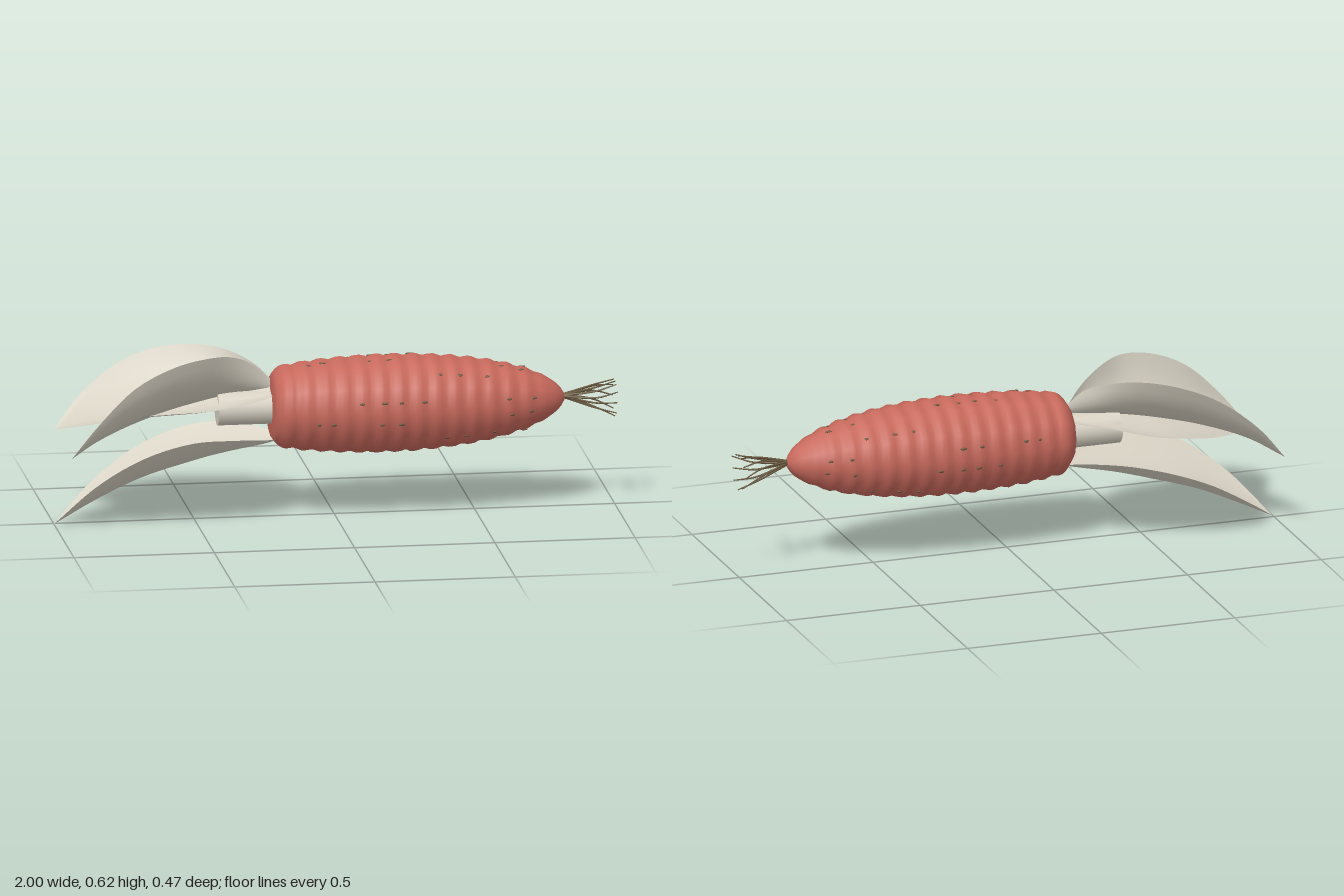
import * as THREE from 'three';

const AXIS_Y = 0.4, AXIS_Z = 0.015;
const V = (a) => new THREE.Vector3(...a);

// Body radius along its length
const profile = new THREE.CatmullRomCurve3([
  [0.105, -0.23], [0.143, -0.2], [0.156, -0.14], [0.169, -0.02], [0.176, 0.12], [0.176, 0.24],
  [0.168, 0.38], [0.15, 0.52], [0.122, 0.64], [0.088, 0.73], [0.045, 0.795], [0.012, 0.818],
].map(([r, x]) => new THREE.Vector3(r, x, 0)));

function radiusAt(x) {
  let lo = 0, hi = 1;
  for (let i = 0; i < 24; i++) {
    const mid = (lo + hi) / 2;
    if (profile.getPoint(mid).y < x) lo = mid; else hi = mid;
  }
  const fade = THREE.MathUtils.smoothstep(x, -0.23, -0.15) * (1 - THREE.MathUtils.smoothstep(x, 0.66, 0.8));
  return profile.getPoint(lo).x + 0.004 * fade * Math.sin(x * Math.PI * 2 / 0.066);
}

// Leaf lofted between two edges and a midrib, each section a shallow cup
function leafGeometry(edgeA, rib, edgeB) {
  const [a, m, b] = [edgeA, rib, edgeB].map((c) => new THREE.CatmullRomCurve3(c.map(V)));
  const rows = 28, cols = 12, pos = [], index = [];
  for (let i = 0; i <= rows; i++) {
    const t = i / rows, pa = a.getPoint(t), pm = m.getPoint(t), pb = b.getPoint(t);
    for (let j = 0; j <= cols; j++) {
      const s = j / cols * 2 - 1;
      const p = pa.clone().multiplyScalar(s * (s - 1) / 2)
        .addScaledVector(pm, 1 - s * s).addScaledVector(pb, s * (s + 1) / 2);
      pos.push(p.x, p.y, p.z);
      if (i < rows && j < cols) {
        const k = i * (cols + 1) + j, n = k + cols + 1;
        index.push(k, k + 1, n, k + 1, n + 1, n);
      }
    }
  }
  const g = new THREE.BufferGeometry();
  g.setAttribute('position', new THREE.Float32BufferAttribute(pos, 3));
  g.setIndex(index);
  g.computeVertexNormals();
  return g;
}

export function createModel() {
  const model = new THREE.Group();
  const material = (name, color, side = THREE.FrontSide) => {
    const m = new THREE.MeshStandardMaterial({ color, side });
    m.name = name;
    return m;
  };
  const red = material('skinRed', 0xc8695c);
  const cream = material('leafCream', 0xd8d2c4, THREE.DoubleSide);
  const brown = material('rootBrown', 0x6b5a40);
  const add = (name, geometry, mat, parent = model) => {
    const mesh = new THREE.Mesh(geometry, mat);
    mesh.name = name;
    parent.add(mesh);
    return mesh;
  };

  // Ribbed twelve-sided root body lying along x
  const pts = [new THREE.Vector2(0, -0.23)];
  for (let i = 0; i <= 76; i++) {
    const x = -0.23 + 1.048 * i / 76;
    pts.push(new THREE.Vector2(radiusAt(x), x));
  }
  pts.push(new THREE.Vector2(0, 0.822));
  const body = add('body', new THREE.LatheGeometry(pts, 12).rotateZ(-Math.PI / 2), red);
  body.position.set(0, AXIS_Y, AXIS_Z);

  // Small dark pores in rows around the body
  const pores = new THREE.Group();
  pores.name = 'pores';
  pores.position.set(0, AXIS_Y, AXIS_Z);
  model.add(pores);
  const poreShape = new THREE.SphereGeometry(1, 8, 6);
  const rowsOfPores = [
    [0.05, 0.13, 0.19, 0.27, 0.58, 0.67],
    [-0.1, -0.05, 0.12, 0.19, 0.59, 0.66],
    [0.36, 0.43, 0.53],
  ];
  for (let q = 0; q < 4; q++) {
    [-13, 13, 42].forEach((offset, r) => {
      const phi = THREE.MathUtils.degToRad(q * 90 + offset);
      const local = ((phi % (Math.PI / 6)) + Math.PI / 6) % (Math.PI / 6) - Math.PI / 12;
      rowsOfPores[r].forEach((x, i) => {
        const arm = new THREE.Group();
        arm.name = 'pore';
        arm.rotation.x = phi;
        pores.add(arm);
        const px = x + (q % 2) * 0.025;
        const pore = add('poreSlit', poreShape, brown, arm);
        pore.position.set(px, radiusAt(px) * Math.cos(Math.PI / 12) / Math.cos(local), 0);
        pore.scale.set(i % 2 ? 0.013 : 0.009, 0.003, 0.005);
      });
    });
  }

  // Short stalk behind the body
  const stalk = add('stalk', new THREE.CylinderGeometry(0.06, 0.06, 0.21, 16).rotateZ(Math.PI / 2), cream);
  stalk.position.set(-0.315, AXIS_Y, AXIS_Z);

  // Three drooping cupped leaves
  add('lowerLeaf', leafGeometry(
    [[-0.2, 0.29, 0.05], [-0.25, 0.3, 0.1], [-0.39, 0.325, 0.19], [-0.53, 0.325, 0.21], [-0.69, 0.275, 0.187], [-0.85, 0.165, 0.115], [-1, 0, 0.01]],
    [[-0.2, 0.285, 0.01], [-0.25, 0.272, 0.01], [-0.39, 0.247, 0.01], [-0.53, 0.21, 0.01], [-0.69, 0.16, 0.01], [-0.85, 0.085, 0.01], [-1, 0, 0.01]],
    [[-0.2, 0.29, -0.03], [-0.25, 0.305, -0.08], [-0.39, 0.31, -0.17], [-0.53, 0.28, -0.203], [-0.69, 0.215, -0.19], [-0.85, 0.115, -0.125], [-1, 0, 0.01]],
  ), cream);
  add('frontLeaf', leafGeometry(
    [[-0.21, 0.47, 0.0], [-0.28, 0.55, 0.03], [-0.37, 0.6, 0.08], [-0.48, 0.615, 0.15], [-0.6, 0.595, 0.185], [-0.74, 0.53, 0.21], [-0.87, 0.41, 0.232], [-0.97, 0.29, 0.235]],
    [[-0.21, 0.455, 0.0], [-0.28, 0.455, 0.005], [-0.37, 0.45, 0.01], [-0.48, 0.435, 0.03], [-0.6, 0.415, 0.06], [-0.74, 0.38, 0.11], [-0.87, 0.335, 0.17], [-0.97, 0.29, 0.235]],
    [[-0.21, 0.45, -0.03], [-0.28, 0.45, -0.1], [-0.37, 0.44, -0.155], [-0.48, 0.415, -0.185], [-0.6, 0.39, -0.17], [-0.74, 0.355, -0.1], [-0.87, 0.315, 0.04], [-0.97, 0.29, 0.235]],
  ), cream);
  add('backLeaf', leafGeometry(
    [[-0.21, 0.455, 0.05], [-0.26, 0.455, 0.12], [-0.35, 0.45, 0.18], [-0.48, 0.44, 0.215], [-0.6, 0.43, 0.195], [-0.72, 0.41, 0.14], [-0.86, 0.36, 0.02], [-0.97, 0.29, -0.2]],
    [[-0.21, 0.46, 0.02], [-0.26, 0.46, 0.02], [-0.35, 0.455, 0.01], [-0.48, 0.44, 0.0], [-0.6, 0.42, -0.03], [-0.72, 0.395, -0.075], [-0.86, 0.35, -0.135], [-0.97, 0.29, -0.2]],
    [[-0.21, 0.48, 0.01], [-0.28, 0.55, -0.01], [-0.37, 0.59, -0.075], [-0.48, 0.6, -0.135], [-0.6, 0.58, -0.19], [-0.72, 0.53, -0.225], [-0.86, 0.42, -0.235], [-0.97, 0.29, -0.2]],
  ), cream);

  // Fine rootlets fanning from the tip with a slight swirl
  const reach = [0.045, 0.05, 0.072, 0.062, 0.075, 0.082, 0.08, 0.072, 0.06, 0.055];
  reach.forEach((r, i) => {
    const angle = i / reach.length * Math.PI * 2;
    const path = [[0.8, 0, 0], [0.86, 0.3, 0.5], [0.93, 0.65, 0.35], [1, 1, 0]].map(([x, k, twist]) =>
      new THREE.Vector3(x, AXIS_Y + 0.004 + r * k * Math.cos(angle + twist), AXIS_Z + r * k * Math.sin(angle + twist)));
    const curve = new THREE.CatmullRomCurve3(path);
    const tube = new THREE.TubeGeometry(curve, 10, 0.005, 6);
    const p = tube.attributes.position;
    for (let j = 0; j < p.count; j++) {
      const t = Math.floor(j / 7) / 10, c = curve.getPointAt(t), s = 1 - 0.6 * t;
      p.setXYZ(j, c.x + (p.getX(j) - c.x) * s, c.y + (p.getY(j) - c.y) * s, c.z + (p.getZ(j) - c.z) * s);
    }
    add('rootlet', tube, brown);
  });
  return model;
}
